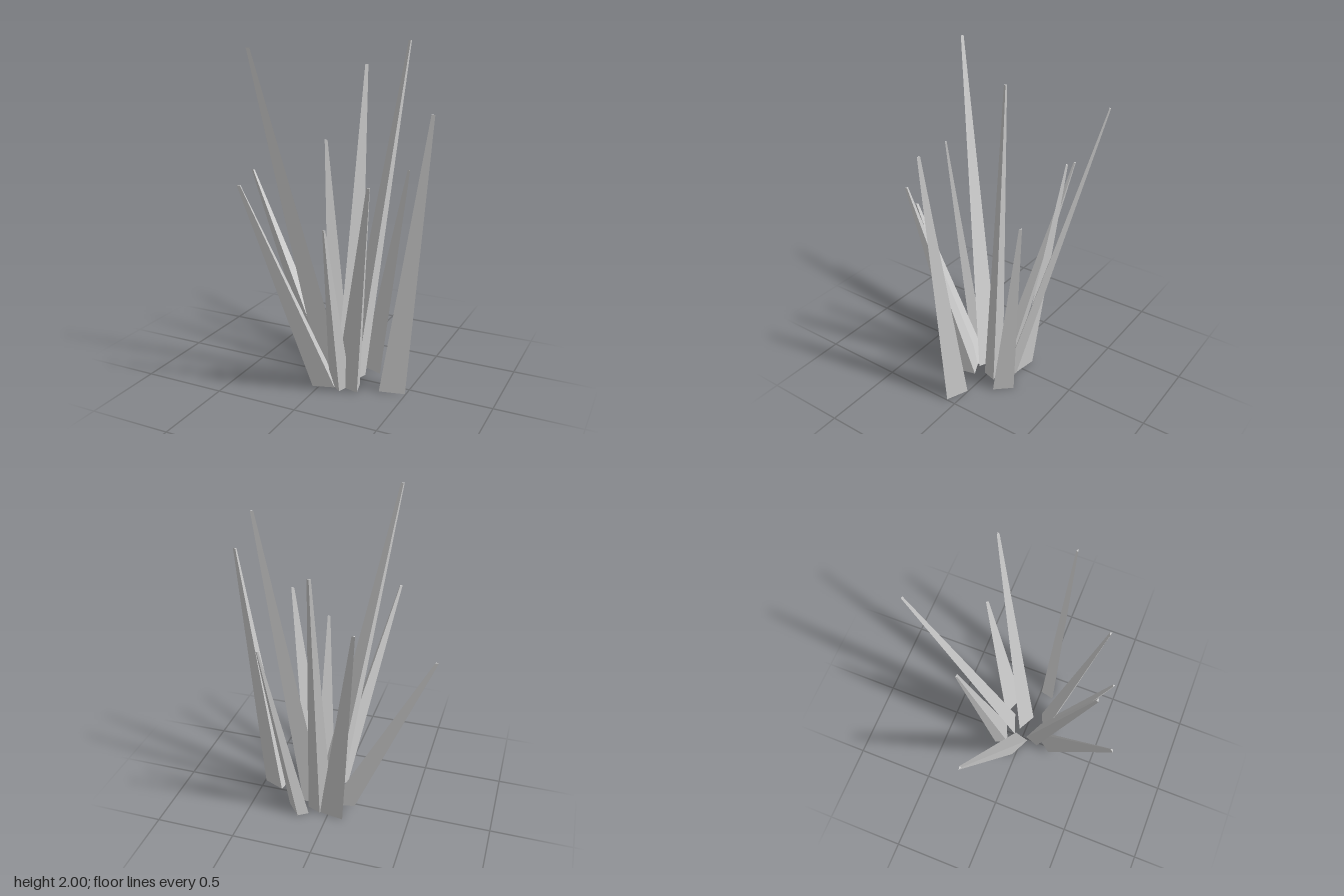
import * as THREE from 'three';
import { ConvexGeometry } from 'three/addons/geometries/ConvexGeometry.js';

// Each blade: tip [x, y, z] and the three base corners [x, z] on the ground
const BLADES = [
  { tip: [-0.06, 1.83, -0.61], base: [[0, -0.055], [0.14, -0.11], [0.055, -0.145]] },
  { tip: [-0.195, 1.39, -0.3], base: [[-0.07, -0.085], [0.055, -0.14], [-0.1, -0.165]] },
  { tip: [-0.61, 1.2, -0.12], base: [[0.015, -0.055], [-0.01, 0.04], [-0.14, -0.02]] },
  { tip: [0.333, 1.24, -0.35], base: [[0.12, -0.17], [0.265, -0.115], [0.18, -0.21]] },
  { tip: [0.353, 2, -0.265], base: [[0.05, -0.04], [0.165, 0.02], [0.19, -0.065]] },
  { tip: [0.613, 1.64, 0.072], base: [[0.365, 0.005], [0.345, 0.095], [0.495, 0.06]] },
  { tip: [0.385, 1.29, 0.377], base: [[0.21, 0.065], [0.08, 0.125], [0.235, 0.165]] },
  { tip: [0.185, 1.07, 0.49], base: [[0.03, 0.11], [0.165, 0.1], [0.135, 0.195]] },
  { tip: [-0.247, 1.29, 0.605], base: [[0.06, 0.08], [0.09, 0.165], [-0.035, 0.205]] },
  { tip: [-0.26, 1.98, 0.463], base: [[0.01, 0.025], [0.135, 0.085], [-0.02, 0.115]] },
];
const TIP_SCALE = 0.13;

// Three-sided spike: the base triangle shrinks to a small blunt triangle at the tip
function bladeGeometry({ tip, base }) {
  const cx = (base[0][0] + base[1][0] + base[2][0]) / 3;
  const cz = (base[0][1] + base[1][1] + base[2][1]) / 3;
  const points = [];
  for (const [x, z] of base) {
    points.push(new THREE.Vector3(x, 0, z));
    points.push(new THREE.Vector3(
      tip[0] + (x - cx) * TIP_SCALE, tip[1], tip[2] + (z - cz) * TIP_SCALE));
  }
  return new ConvexGeometry(points);
}

export function createModel() {
  const group = new THREE.Group();
  group.name = 'grassTuft';
  const material = new THREE.MeshStandardMaterial({ color: 0xcccccc, flatShading: true });
  BLADES.forEach((blade, i) => {
    const mesh = new THREE.Mesh(bladeGeometry(blade), material);
    mesh.name = `grassBlade${i + 1}`;
    group.add(mesh);
  });
  return group;
}
